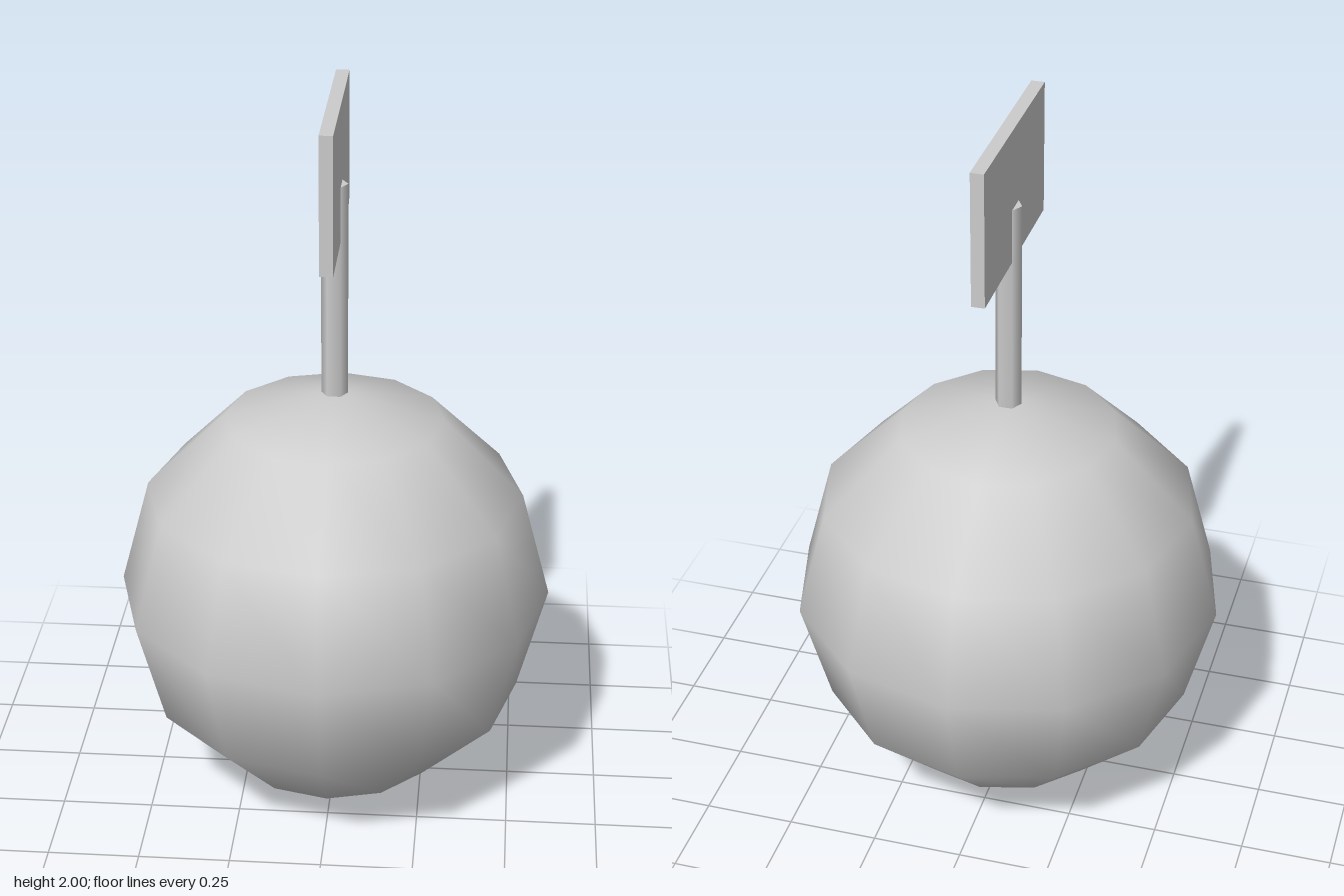
import * as THREE from 'three';

export function createModel() {
  const group = new THREE.Group();
  const grey = new THREE.MeshStandardMaterial({ color: 0xcccccc });
  grey.name = 'light grey';

  const add = (name, geometry, y) => {
    const mesh = new THREE.Mesh(geometry, grey);
    mesh.name = name;
    mesh.position.y = y;
    group.add(mesh);
  };

  // Coarse, smooth-shaded ball with its poles on the vertical axis
  const radius = 0.597;
  add('ball', new THREE.SphereGeometry(radius, 12, 6), radius);

  // Six-sided post, corners pointing left and right
  const postBottom = 1.188, postTop = 1.78;
  const post = new THREE.CylinderGeometry(0.036, 0.036, postTop - postBottom, 6);
  post.rotateY(Math.PI / 2);
  add('post', post, (postBottom + postTop) / 2);

  // Thin sign board running front to back
  add('signBoard', new THREE.BoxGeometry(0.036, 0.37, 0.56), 1.815);

  return group;
}
